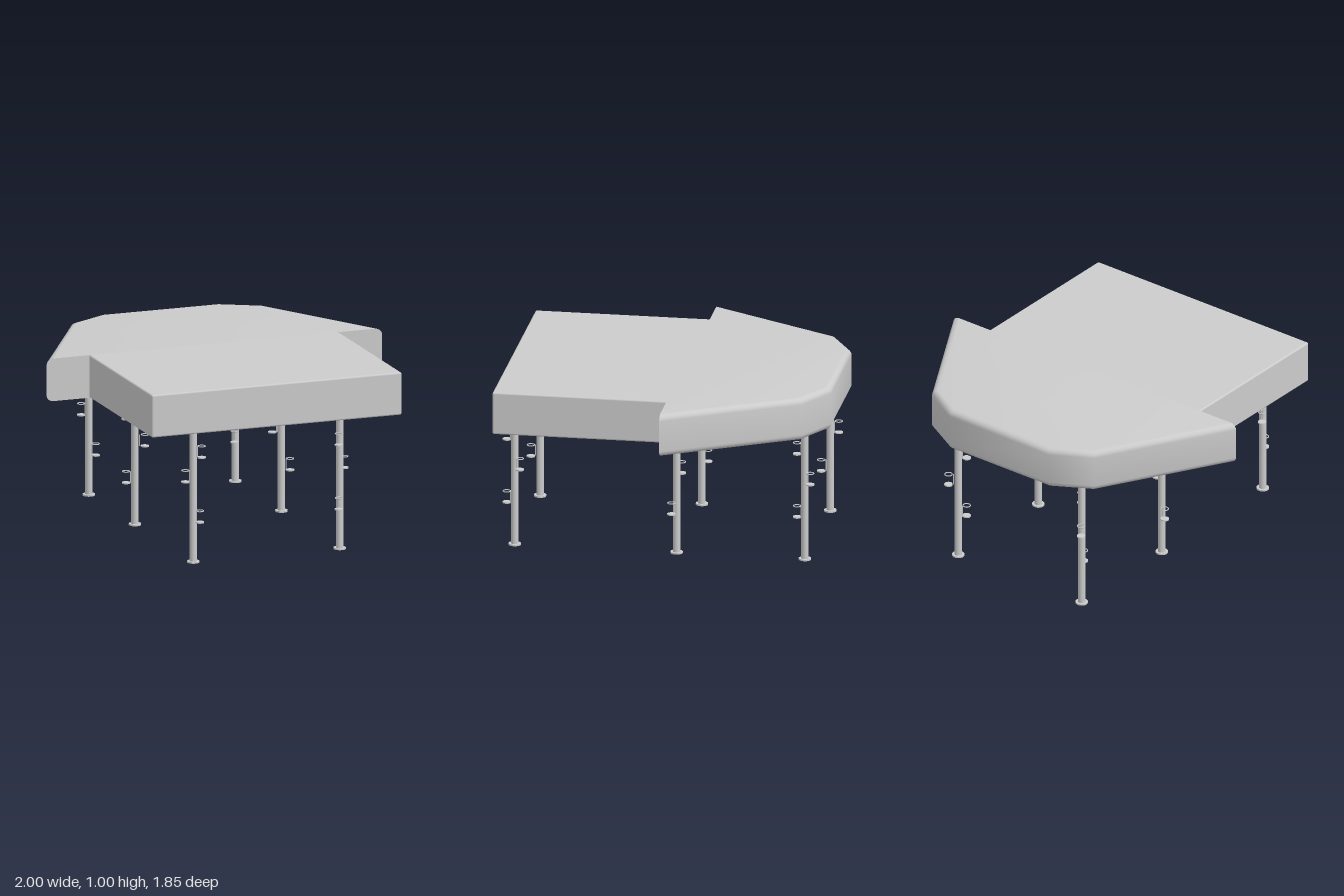
import * as THREE from 'three';
import { toCreasedNormals } from 'three/addons/utils/BufferGeometryUtils.js';
import { RoundedBoxGeometry } from 'three/addons/geometries/RoundedBoxGeometry.js';

const material = new THREE.MeshStandardMaterial({ color: 0xcccccc });
const BOTTOM = 0.755, TOP = 1.0, SEAM = -0.06;

function add(parent, name, geometry, x = 0, y = 0, z = 0) {
  const mesh = new THREE.Mesh(geometry, material);
  mesh.name = name;
  mesh.position.set(x, y, z);
  parent.add(mesh);
  return mesh;
}

// Rear outline moved inwards by d, keeping the flat seam edge in place
function rearOutline(d) {
  const half = [[1, SEAM], [0.575, -0.8], [0.35, -0.925]];
  const pts = [...half, ...half.map(([x, z]) => [-x, z]).reverse()];
  const n = pts.length;
  const lines = pts.map((p, i) => {
    const q = pts[(i + 1) % n];
    const len = Math.hypot(q[0] - p[0], q[1] - p[1]);
    const nx = -(q[1] - p[1]) / len, nz = (q[0] - p[0]) / len;
    // outward normal of each edge
    const s = nx * p[0] + nz * (p[1] + 0.4) > 0 ? 1 : -1;
    const inset = i === n - 1 ? 0 : d;
    return [nx * s, nz * s, (nx * p[0] + nz * p[1]) * s - inset];
  });
  return lines.map((b, i) => {
    const a = lines[(i + n - 1) % n];
    const det = a[0] * b[1] - a[1] * b[0];
    return [(a[2] * b[1] - a[1] * b[2]) / det, (a[0] * b[2] - a[2] * b[0]) / det];
  });
}

// Rear slab: stacked outlines with rounded lower and upper rims
function rearSlab() {
  const r = 0.035, steps = 6, levels = [];
  for (let i = 0; i <= steps; i++) {
    const a = (i / steps) * Math.PI / 2;
    levels.push([BOTTOM + r * (1 - Math.cos(a)), r * (1 - Math.sin(a))]);
  }
  for (let i = 0; i <= steps; i++) {
    const a = (i / steps) * Math.PI / 2;
    levels.push([TOP - r * (1 - Math.sin(a)), r * (1 - Math.cos(a))]);
  }
  const position = [], index = [], n = 6;
  levels.forEach(([y, d]) => rearOutline(d).forEach(([x, z]) => position.push(x, y, z)));
  for (let l = 0; l < levels.length - 1; l++) {
    for (let i = 0; i < n; i++) {
      const a = l * n + i, b = l * n + (i + 1) % n;
      index.push(a, b, b + n, a, b + n, a + n);
    }
  }
  const last = (levels.length - 1) * n;
  for (let i = 1; i < n - 1; i++) {
    index.push(0, i + 1, i, last, last + i, last + i + 1);
  }
  const g = new THREE.BufferGeometry();
  g.setAttribute('position', new THREE.Float32BufferAttribute(position, 3));
  g.setIndex(index);
  return toCreasedNormals(g, 0.6);
}

// Cup holder: wire ring above a small round plate, tied by a thin bracket
function holder(y, dx, dz) {
  const g = new THREE.Group();
  g.name = 'holder';
  const r = 0.024;
  const ring = new THREE.TorusGeometry(r - 0.003, 0.003, 6, 24).rotateX(Math.PI / 2);
  add(g, 'holderRing', ring, dx, y + 0.065, dz);
  add(g, 'holderPlate', new THREE.CylinderGeometry(r, r, 0.007, 24), dx, y, dz);
  const k = 0.026 / Math.hypot(dx, dz);
  add(g, 'holderBracket', new THREE.CylinderGeometry(0.003, 0.003, 0.065, 6), dx * k, y + 0.0325, dz * k);
  return g;
}

export function createModel() {
  const model = new THREE.Group();
  model.name = 'canopyTable';

  // Two-part top
  add(model, 'frontSlab', new RoundedBoxGeometry(1.49, TOP - BOTTOM, 0.995, 3, 0.01),
    0, (TOP + BOTTOM) / 2, 0.4275);
  add(model, 'rearSlab', rearSlab());

  // Horizontal offsets of the upper, middle and lower holders on each kind of leg
  const heights = [0.61, 0.455, 0.24];
  const leftOuter = [[-0.022, 0.048], [0.041, -0.036], [-0.022, 0.048]];
  const rightOuter = [[0.034, 0.042], [-0.03, -0.043], [0.022, 0.048]];
  const leftMiddle = [[0.052, 0.013], [-0.047, -0.022], [0.043, 0.022]];
  const rightMiddle = [[-0.05, -0.013], [0.051, 0.022], [-0.043, -0.027]];
  const legs = [
    ['frontLeftLeg', 0.4, 0.855, leftOuter],
    ['middleLeftLeg', 0.4, -0.06, leftMiddle],
    ['backLeftLeg', 0.4, -0.785, leftOuter],
    ['frontRightLeg', -0.473, 0.855, rightOuter],
    ['middleRightLeg', -0.473, -0.06, rightMiddle],
    ['backRightLeg', -0.473, -0.785, rightOuter],
  ];
  for (const [name, x, z, offsets] of legs) {
    const leg = new THREE.Group();
    leg.name = name;
    leg.position.set(x, 0, z);
    add(leg, 'post', new THREE.CylinderGeometry(0.021, 0.021, 0.76, 24), 0, 0.385, 0);
    add(leg, 'foot', new THREE.CylinderGeometry(0.035, 0.035, 0.009, 24), 0, 0.0045, 0);
    offsets.forEach(([dx, dz], i) => leg.add(holder(heights[i], dx, dz)));
    model.add(leg);
  }
  return model;
}
